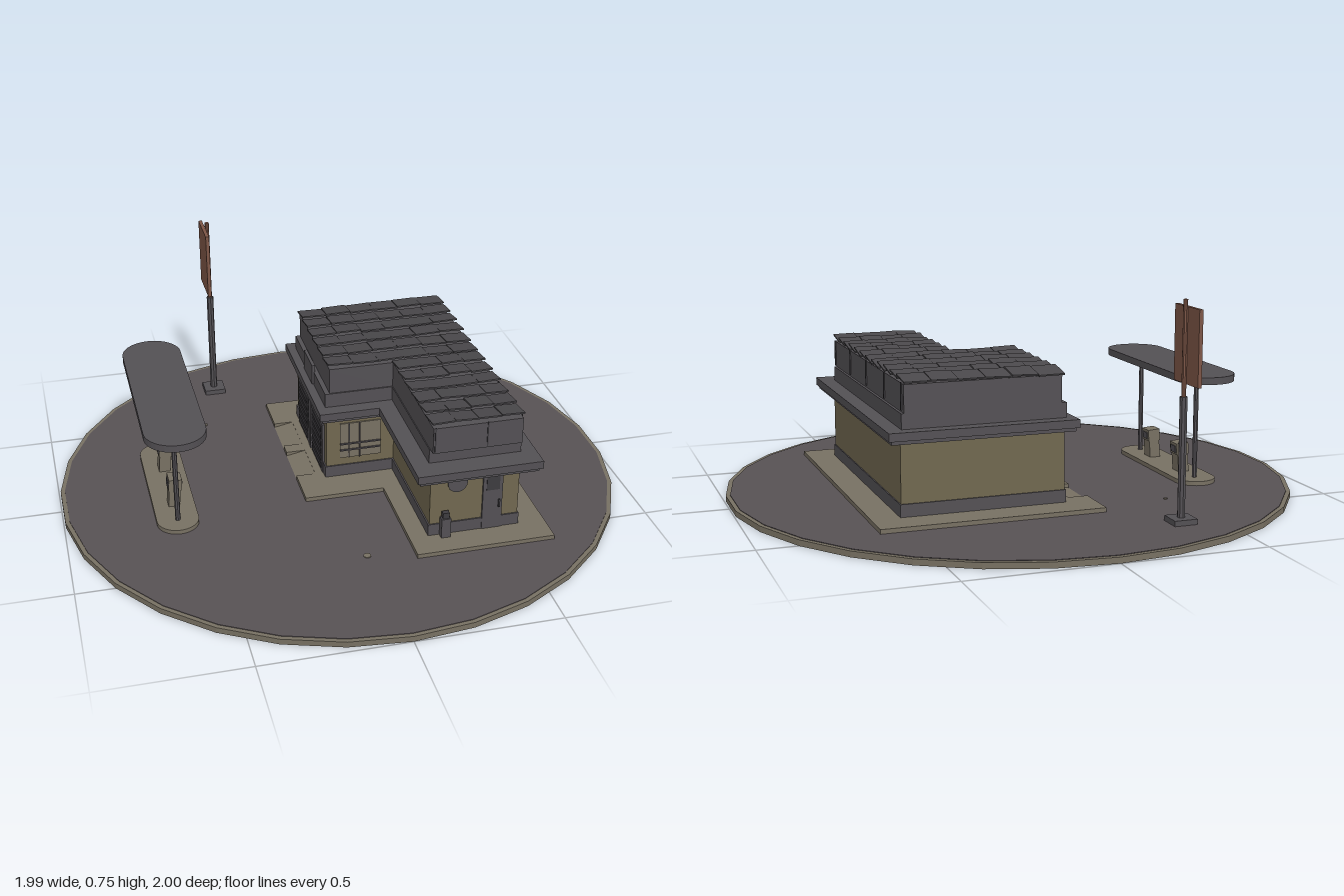
import * as THREE from 'three';

const mat = (name, color) => {
  const m = new THREE.MeshStandardMaterial({ color, side: THREE.DoubleSide, flatShading: true });
  m.name = name;
  return m;
};

export function createModel() {
  const asphalt = mat('asphalt grey', 0x575154);
  const concrete = mat('concrete tan', 0x777062);
  const plaster = mat('plaster tan', 0x70674f);
  const metal = mat('metal grey', 0x535054);
  const tileGrey = mat('roof tile grey', 0x4a484b);
  const rust = mat('rust brown', 0x7c5546);
  const dark = mat('dark opening', 0x3d3b3f);

  const root = new THREE.Group();
  root.name = 'roadsideStation';
  const add = (name, geo, material, x = 0, y = 0, z = 0, parent = root) => {
    const m = new THREE.Mesh(geo, material);
    m.name = name;
    m.position.set(x, y, z);
    parent.add(m);
    return m;
  };
  // Box given by its extents
  const box = (name, material, x0, x1, y0, y1, z0, z1, parent = root) =>
    add(name, new THREE.BoxGeometry(x1 - x0, y1 - y0, z1 - z0), material,
      (x0 + x1) / 2, (y0 + y1) / 2, (z0 + z1) / 2, parent);
  // Plan outline in x,z pulled up from y0 to y1
  const slab = (name, material, shape, y0, y1) => {
    const g = new THREE.ExtrudeGeometry(shape, { depth: y1 - y0, bevelEnabled: false, curveSegments: 10 });
    return add(name, g.rotateX(Math.PI / 2), material, 0, y1, 0);
  };
  const poly = pts => new THREE.Shape(pts.map(p => new THREE.Vector2(...p)));
  // L plan: main block plus front wing
  const ell = (x0, x1, z0, z1, xw, zm) =>
    poly([[x0, z0], [x1, z0], [x1, z1], [xw, z1], [xw, zm], [x0, zm]]);
  const capsule = (x, r, z0, z1) => {
    const s = new THREE.Shape();
    s.absarc(x, z1 - r, r, 0, Math.PI);
    s.absarc(x, z0 + r, r, Math.PI, Math.PI * 2);
    s.closePath();
    return s;
  };

  // Round ground with a kerb
  add('groundKerb', new THREE.CylinderGeometry(1, 1, 0.02, 30), [concrete, concrete, dark], 0, 0.01, 0);
  add('groundAsphalt', new THREE.CylinderGeometry(0.985, 0.985, 0.004, 30), asphalt, 0, 0.02, 0);
  add('manholeCover', new THREE.CylinderGeometry(0.013, 0.013, 0.004, 12), concrete, -0.03, 0.023, 0.55);
  add('smallStone', new THREE.CylinderGeometry(0.007, 0.007, 0.006, 6), concrete, -0.41, 0.023, -0.45);

  // Pavement with two driveway ramps
  const bays = [[-0.37, -0.2], [-0.15, 0.02]];
  const outline = [[-0.155, -0.535], [0.615, -0.535], [0.615, 0.605], [0.13, 0.605], [0.13, 0.175], [-0.155, 0.175]];
  for (const [a, b] of [...bays].reverse()) outline.push([-0.155, b], [-0.085, b], [-0.085, a], [-0.155, a]);
  slab('pavement', concrete, poly(outline), 0.02, 0.037);
  for (const [a, b] of bays) {
    const wedge = poly([[-0.16, 0.021], [-0.085, 0.021], [-0.085, 0.036]]);
    add('drivewayRamp', new THREE.ExtrudeGeometry(wedge, { depth: b - a, bevelEnabled: false }), concrete, 0, 0, a);
  }

  // Walls, skirting, eaves and upper band
  slab('walls', plaster, ell(-0.05, 0.515, -0.42, 0.5, 0.2, 0.05), 0.036, 0.29);
  slab('skirting', metal, ell(-0.055, 0.519, -0.425, 0.505, 0.195, 0.055), 0.036, 0.08);
  slab('eavesLower', metal, ell(-0.075, 0.555, -0.46, 0.575, 0.14, 0.095), 0.285, 0.298);
  slab('eaves', metal, ell(-0.085, 0.565, -0.47, 0.585, 0.13, 0.105), 0.298, 0.326);
  slab('upperBand', metal, ell(-0.055, 0.512, -0.425, 0.505, 0.19, 0.055), 0.326, 0.378);
  slab('parapet', metal, ell(-0.038, 0.503, -0.425, 0.535, 0.193, 0.05), 0.378, 0.472);

  // Overlapping, uneven roof sheets
  let seed = 7;
  const rnd = () => (seed = (seed * 16807) % 2147483647) / 2147483647;
  const tiles = new THREE.Group();
  tiles.name = 'roofTiles';
  root.add(tiles);
  const tileArea = (x0, x1, z0, z1, nx, nz) => {
    const w = (x1 - x0) / nx, d = (z1 - z0) / nz;
    const g = new THREE.BoxGeometry(w * 0.99, 0.005, d * 1.12);
    for (let i = 0; i < nx; i++) for (let j = 0; j < nz; j++) {
      const t = add('roofTile', g, tileGrey, x0 + w * (i + 0.5), 0.482 + rnd() * 0.005, z0 + d * (j + 0.5), tiles);
      t.rotation.set(-0.13 - rnd() * 0.06, 0, (rnd() - 0.5) * 0.07);
    }
  };
  tileArea(-0.045, 0.505, -0.43, 0.055, 6, 6);
  tileArea(0.188, 0.505, 0.055, 0.535, 4, 6);
  // Sheet joints on the parapet sides
  for (const z of [-0.4, -0.19, 0.05, 0.28, 0.51]) box('parapetJoint', dark, 0.503, 0.507, 0.385, 0.475, z - 0.003, z + 0.003);
  for (const x of [0.2, 0.38]) box('parapetJoint', dark, x - 0.002, x + 0.002, 0.385, 0.475, 0.535, 0.538);
  box('roofSideBoard', metal, -0.062, -0.05, 0.33, 0.405, -0.25, -0.12);

  // Service bays on the left face of the plan
  for (const [a, b] of bays) {
    box('bayDoor', metal, -0.058, -0.049, 0.037, 0.235, a, b);
    for (let i = 0; i < 6; i++) {
      const y = 0.05 + i * 0.03;
      box('bayDoorSlat', dark, -0.061, -0.057, y, y + 0.02, a + 0.012, b - 0.012);
    }
  }
  box('bayPillar', metal, -0.06, -0.049, 0.037, 0.285, -0.19, -0.16);

  // Main front face: window with bars
  box('shopWindow', concrete, 0.0, 0.15, 0.11, 0.25, 0.05, 0.055);
  for (const y of [0.14, 0.165]) box('windowRail', metal, 0, 0.15, y, y + 0.005, 0.054, 0.06);
  for (const x of [0.03, 0.07]) box('windowBar', metal, x, x + 0.004, 0.11, 0.25, 0.054, 0.06);

  // Wing front: door, round plate and bin
  box('wingDoor', metal, 0.385, 0.455, 0.037, 0.26, 0.5, 0.508);
  box('wingDoorPane', dark, 0.397, 0.443, 0.19, 0.245, 0.507, 0.51);
  box('wingDoorHandle', dark, 0.44, 0.446, 0.12, 0.15, 0.507, 0.514);
  add('roundPlate', new THREE.CylinderGeometry(0.035, 0.035, 0.006, 14).rotateX(Math.PI / 2), metal, 0.295, 0.232, 0.502);
  box('bin', metal, 0.235, 0.268, 0.037, 0.11, 0.505, 0.53);
  box('binLid', dark, 0.24, 0.263, 0.11, 0.132, 0.508, 0.526);

  // Pump island with canopy
  slab('pumpIsland', concrete, capsule(-0.615, 0.073, -0.33, 0.27), 0.02, 0.037);
  slab('canopy', metal, capsule(-0.615, 0.105, -0.42, 0.36), 0.4, 0.425);
  for (const z of [-0.26, 0.2])
    add('canopyPost', new THREE.CylinderGeometry(0.009, 0.009, 0.365, 8), metal, -0.615, 0.219, z);
  for (const z of [-0.15, 0.09]) {
    const pump = new THREE.Group();
    pump.name = 'fuelPump';
    pump.position.set(-0.615, 0.036, z);
    pump.rotation.z = -0.08;
    root.add(pump);
    box('pumpBody', concrete, -0.02, 0.02, 0, 0.065, -0.025, 0.025, pump);
    box('pumpHead', concrete, -0.023, 0.023, 0.065, 0.108, -0.028, 0.028, pump);
    for (const s of [-1, 1]) box('pumpDial', metal, s * 0.024 - 0.002, s * 0.024 + 0.002, 0.073, 0.098, -0.018, 0.018, pump);
  }

  // Roadside sign
  box('signFoot', metal, -0.37, -0.29, 0.02, 0.04, -0.77, -0.69);
  add('signPost', new THREE.CylinderGeometry(0.013, 0.013, 0.395, 8), metal, -0.33, 0.237, -0.73);
  add('signRod', new THREE.CylinderGeometry(0.008, 0.008, 0.315, 8), rust, -0.33, 0.588, -0.73);
  box('signPanel', rust, -0.349, -0.336, 0.475, 0.722, -0.815, -0.645);
  return root;
}
